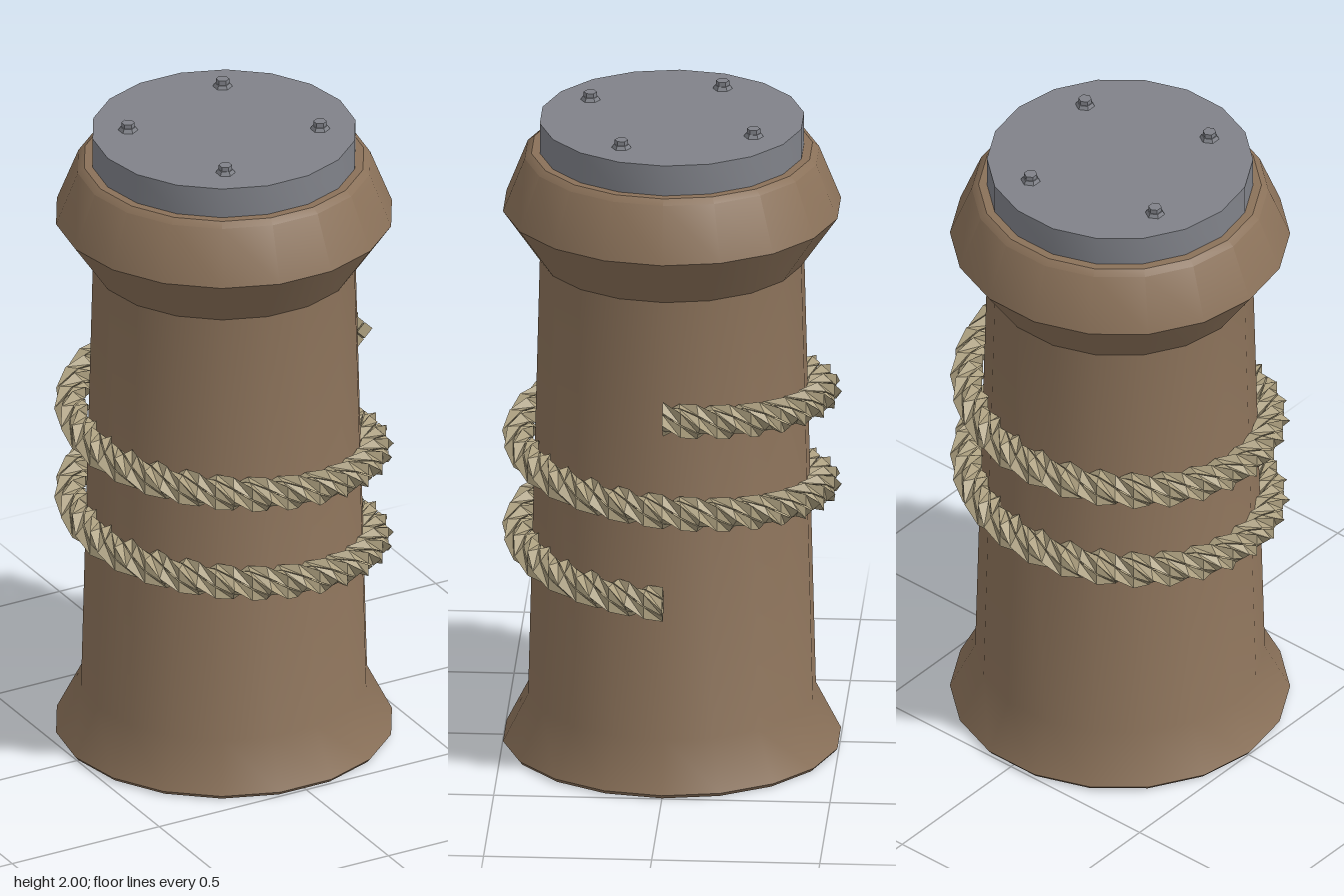
import * as THREE from 'three';
import { toCreasedNormals } from 'three/addons/utils/BufferGeometryUtils.js';

const SIDES = 18;
const wood = new THREE.MeshStandardMaterial({ color: 0x8a7159 });
const metal = new THREE.MeshStandardMaterial({ color: 0x808289 });
const hemp = new THREE.MeshStandardMaterial({ color: 0xada080, flatShading: true });

function addMesh(parent, name, geometry, material) {
  const mesh = new THREE.Mesh(geometry, material);
  mesh.name = name;
  parent.add(mesh);
  return mesh;
}

// Turned solid with vertices on the x axis and flat sides on the z axis
function turned(profile) {
  const points = profile.map(([r, y]) => new THREE.Vector2(r, y));
  const lathe = new THREE.LatheGeometry(points, SIDES, Math.PI / SIDES);
  return toCreasedNormals(lathe, 0.6);
}

// One square strand, twisted round the rope's helical centre line
function strandGeometry(phase) {
  const turns = 2, steps = 112, twists = 7;
  const radius = 0.45, top = 1.19, pitch = 0.295;
  const offset = 0.029, half = 0.026;
  const positions = [], index = [];
  for (let i = 0; i <= steps; i++) {
    const a = (i / steps) * turns * Math.PI * 2;
    const phi = phase - a * twists;
    for (let j = 0; j < 4; j++) {
      const corner = phi + (j * Math.PI) / 2;
      const out = radius + offset * Math.cos(phi) + half * Math.cos(corner);
      const up = offset * Math.sin(phi) + half * Math.sin(corner);
      positions.push(out * Math.cos(a), top - (pitch * a) / (Math.PI * 2) + up, -out * Math.sin(a));
    }
  }
  for (let i = 0; i < steps; i++) {
    for (let j = 0; j < 4; j++) {
      const p = i * 4 + j, q = i * 4 + ((j + 1) % 4);
      index.push(p, p + 4, q, q, p + 4, q + 4);
    }
  }
  // Cut ends
  const e = steps * 4;
  index.push(0, 1, 2, 0, 2, 3, e, e + 2, e + 1, e, e + 3, e + 2);

  const geometry = new THREE.BufferGeometry();
  geometry.setAttribute('position', new THREE.Float32BufferAttribute(positions, 3));
  // Turn the faces outward if the first side faces the strand's own axis
  const v = (k) => new THREE.Vector3().fromArray(positions, k * 3);
  const normal = v(index[1]).sub(v(index[0])).cross(v(index[2]).sub(v(index[0])));
  const centre = v(0).add(v(2)).multiplyScalar(0.5);
  const outward = v(0).add(v(1)).multiplyScalar(0.5).sub(centre);
  if (normal.dot(outward) < 0) {
    for (let i = 0; i < index.length; i += 3) {
      [index[i + 1], index[i + 2]] = [index[i + 2], index[i + 1]];
    }
  }
  geometry.setIndex(index);
  geometry.computeVertexNormals();
  return geometry;
}

export function createModel() {
  const model = new THREE.Group();
  model.name = 'mooringPost';

  // Wooden post with flared foot and bulging collar
  addMesh(model, 'post', turned([
    [0, 0], [0.495, 0], [0.505, 0.012], [0.43, 0.16], [0.395, 1.54],
    [0.505, 1.7], [0.44, 1.865], [0.42, 1.88], [0, 1.88],
  ]), wood);

  // Metal cap plate
  addMesh(model, 'capPlate', turned([
    [0, 1.87], [0.395, 1.87], [0.395, 1.975], [0, 1.975],
  ]), metal);

  // Four hexagonal bolts, each on a flange
  for (let i = 0; i < 4; i++) {
    const a = 0.495 + (i * Math.PI) / 2;
    const bolt = new THREE.Group();
    bolt.name = 'bolt' + (i + 1);
    bolt.position.set(0.285 * Math.cos(a), 1.975, 0.285 * Math.sin(a));
    const flange = new THREE.CylinderGeometry(0.023, 0.03, 0.012, 6);
    const head = new THREE.CylinderGeometry(0.02, 0.02, 0.017, 6);
    addMesh(bolt, 'flange', toCreasedNormals(flange, 0.3), metal).position.y = 0.005;
    addMesh(bolt, 'head', toCreasedNormals(head, 0.3), metal).position.y = 0.0165;
    model.add(bolt);
  }

  // Rope of four strands, wound twice round the post
  const rope = new THREE.Group();
  rope.name = 'rope';
  for (let i = 0; i < 4; i++) {
    addMesh(rope, 'strand' + (i + 1), strandGeometry((i * Math.PI) / 2), hemp);
  }
  model.add(rope);

  return model;
}
